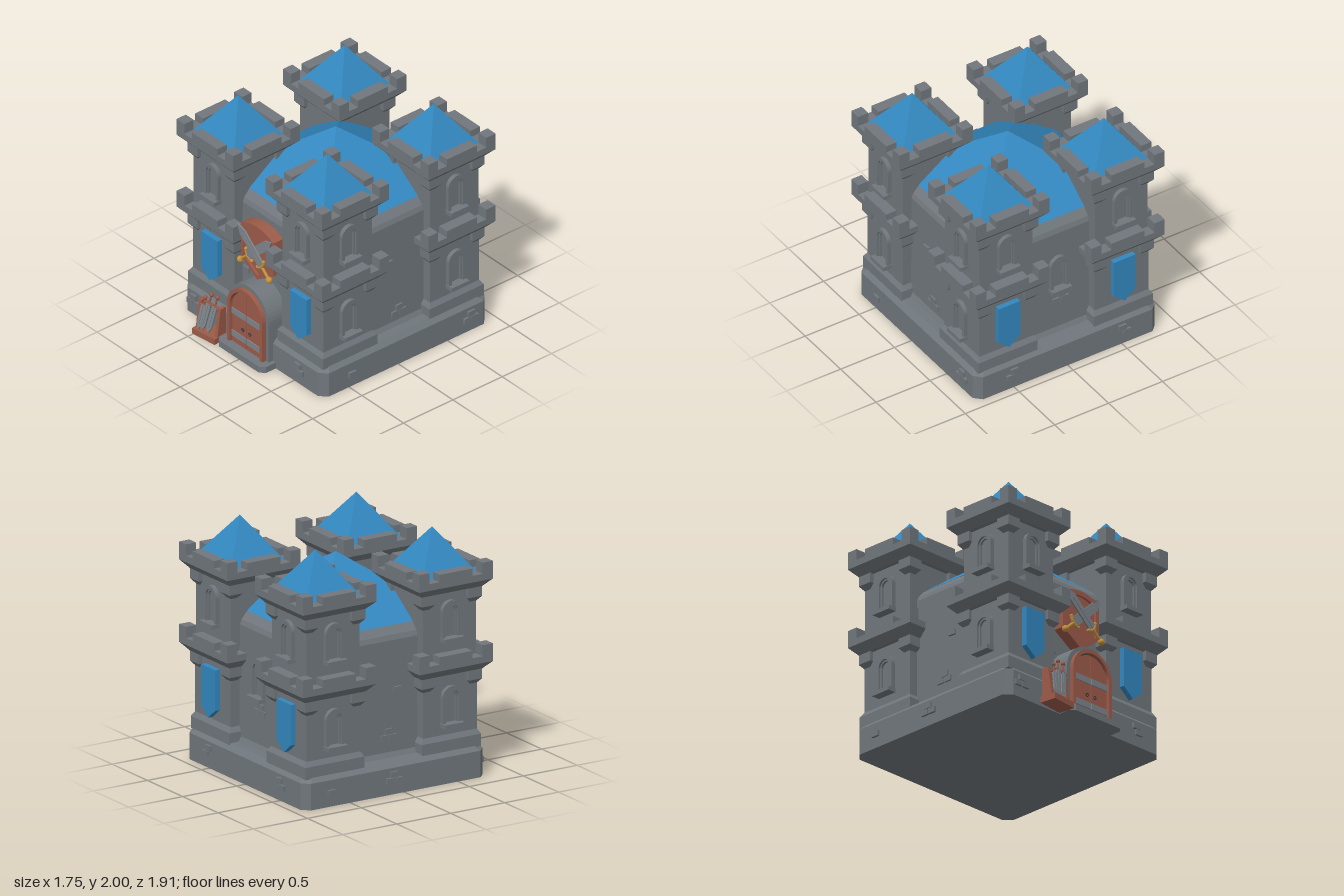
import * as THREE from 'three';

const mat = (name, color) => Object.assign(new THREE.MeshStandardMaterial({ color }), { name });

export function createModel() {
  const stone = mat('stone', 0x70777c), blue = mat('roof blue', 0x3388c0);
  const wood = mat('wood', 0x9c5b49), gold = mat('gold', 0xc4933c);
  const iron = mat('iron', 0x7d858b), dark = mat('dark iron', 0x3a3e42);

  const add = (parent, name, geo, material, x = 0, y = 0, z = 0) => {
    const m = new THREE.Mesh(geo, material);
    m.name = name;
    m.position.set(x, y, z);
    parent.add(m);
    return m;
  };
  const group = (parent, name) => {
    const g = new THREE.Group();
    g.name = name;
    parent.add(g);
    return g;
  };
  const box = (w, h, d) => new THREE.BoxGeometry(w, h, d);

  // Square solid from a [half width, y] profile, with optional cut corners
  const squareStack = (profile, cut = 0) => {
    const n = cut ? 8 : 4;
    const pts = profile.map(([r, y]) => new THREE.Vector2(r, y));
    const geo = new THREE.LatheGeometry(pts, n, Math.PI / n).toNonIndexed();
    const p = geo.attributes.position;
    for (let i = 0; i < p.count; i++) {
      const x = p.getX(i), z = p.getZ(i), r = Math.hypot(x, z);
      if (r < 1e-6) continue;
      const xBig = Math.abs(x) > Math.abs(z);
      p.setX(i, Math.sign(x) * (xBig || !cut ? r : r - cut));
      p.setZ(i, Math.sign(z) * (xBig && cut ? r - cut : r));
    }
    geo.computeVertexNormals();
    return geo;
  };
  const polygon = pts => new THREE.Shape(pts.map(([x, y]) => new THREE.Vector2(x, y)));
  const extrude = (shape, depth) =>
    new THREE.ExtrudeGeometry(shape, { depth, bevelEnabled: false, curveSegments: 12 });
  // Round-topped outline, optionally hollowed by a smaller one
  const arch = (half, y0, top, hole) => {
    const s = new THREE.Shape();
    s.moveTo(-half, y0).lineTo(half, y0).lineTo(half, top - half);
    s.absarc(0, top - half, half, 0, Math.PI, false);
    s.lineTo(-half, y0);
    if (hole) s.holes.push(hole);
    return s;
  };
  // Move an object that faces +z onto the side turned by angle
  const onFace = (obj, angle, along, y, dist) => {
    obj.position.set(along, y, dist).applyAxisAngle(new THREE.Vector3(0, 1, 0), angle);
    obj.rotation.y = angle;
  };

  const model = new THREE.Group();
  model.name = 'castle';
  const castle = group(model, 'stoneworks');
  castle.position.z = -0.08;

  // Plinth, keep and main roof
  add(castle, 'plinth', squareStack([[0, 0], [0.845, 0], [0.845, 0.215], [0.8, 0.26], [0, 0.26]], 0.06), stone);
  add(castle, 'keep', squareStack([[0, 0.2], [0.73, 0.26], [0.71, 0.3], [0.7, 1.2], [0.685, 1.24], [0.63, 1.3], [0, 1.3]]), stone);
  add(castle, 'keepRoof', squareStack([[0.635, 1.3], [0, 1.75]]), blue);

  // Arched window: frame, inner trim and sill
  const frameGeo = extrude(arch(0.085, 0.03, 0.33, arch(0.058, 0.03, 0.3)), 0.035);
  const trimGeo = extrude(arch(0.058, 0.03, 0.3, arch(0.045, 0.03, 0.285)), 0.018);
  const makeWindow = (angle, along, y, dist) => {
    const w = group(castle, 'window');
    add(w, 'windowFrame', frameGeo, stone);
    add(w, 'windowTrim', trimGeo, stone);
    add(w, 'windowSill', box(0.18, 0.035, 0.075), stone, 0, 0.0175, 0.0375);
    onFace(w, angle, along, y, dist);
  };

  // Four corner towers
  const towerGeo = squareStack([[0, 0.2], [0.275, 0.24], [0.275, 0.34], [0.25, 0.38], [0.25, 0.87], [0.28, 0.87],
    [0.34, 0.935], [0.34, 0.99], [0.245, 0.99], [0.245, 1.54], [0.28, 1.54], [0.34, 1.605], [0.34, 1.66], [0, 1.66]]);
  const spireGeo = squareStack([[0.245, 1.66], [0, 2]]);
  const bracketGeo = squareStack([[0, 0], [0.03, 0], [0.0625, 0.04], [0.0625, 0.12], [0, 0.12]]);
  const bannerGeo = extrude(polygon([[-0.1, 0.81], [-0.1, 0.48], [0, 0.4], [0.1, 0.48], [0.1, 0.81]]), 0.045);
  for (const sx of [-1, 1]) for (const sz of [-1, 1]) {
    const tower = group(castle, 'tower');
    tower.position.set(sx * 0.535, 0, sz * 0.54);
    add(tower, 'towerBody', towerGeo, stone);
    add(tower, 'spire', spireGeo, blue);
    for (const y of [0.99, 1.66]) for (let k = 0; k < 4; k++) {
      const a = k * Math.PI / 2, q = k < 2 ? 1 : -1, r = k % 2 ? 1 : -1;
      add(tower, 'cornerMerlon', box(0.095, 0.09, 0.095), stone, q * 0.2925, y + 0.045, r * 0.2925);
      add(tower, 'cornerBracket', bracketGeo, stone, q * 0.2175, y - 0.24, r * 0.2175);
      onFace(add(tower, 'middleMerlon', box(0.305, 0.06, 0.095), stone), a, 0, y + 0.03, 0.2925);
    }
    // Windows on the outer faces, banner on front and back
    const side = sx * Math.PI / 2, face = sz > 0 ? 0 : Math.PI;
    makeWindow(side, -sx * sz * 0.54, 0.445, 0.785);
    makeWindow(side, -sx * sz * 0.54, 1.14, 0.78);
    makeWindow(face, sx * sz * 0.535, 1.14, 0.785);
    onFace(add(tower, 'banner', bannerGeo, blue), face, 0, 0, 0.25);
  }
  makeWindow(Math.PI, 0, 0.66, 0.7);

  // Scattered raised bricks: [side, along, y, on plinth]
  const F = 0, R = Math.PI / 2, B = Math.PI, L = -Math.PI / 2;
  const bricks = [
    [F, -0.23, 0.61, 0], [F, 0.18, 0.69, 0], [F, 0.215, 0.64, 0],
    [F, -0.7, 0.165, 1], [F, -0.74, 0.115, 1], [F, -0.665, 0.115, 1], [F, 0.55, 0.165, 1], [F, 0.58, 0.115, 1],
    [R, -0.065, 0.86, 0], [R, 0.035, 0.42, 0], [R, -0.005, 0.37, 0], [R, 0.07, 0.37, 0],
    [R, -0.555, 0.115, 1], [R, 0.65, 0.165, 1], [R, 0.61, 0.115, 1], [R, 0.685, 0.115, 1],
    [B, 0.03, 0.61, 0], [B, -0.02, 0.56, 0], [B, 0.055, 0.56, 0],
    [B, -0.5, 0.165, 1], [B, -0.54, 0.115, 1], [B, 0.5, 0.165, 1], [B, 0.54, 0.115, 1],
    [L, 0.1, 0.8, 0], [L, 0.02, 0.47, 0], [L, -0.02, 0.42, 0], [L, 0.055, 0.42, 0],
    [L, -0.02, 0.165, 1], [L, 0.02, 0.115, 1], [L, -0.055, 0.115, 1], [L, -0.6, 0.115, 1],
  ];
  for (const [a, u, y, low] of bricks)
    onFace(add(castle, 'brick', box(0.068, 0.046, 0.03), stone), a, u, y, low ? 0.85 : 0.708);

  // Doorway: step, stone arch, wooden frame, leaves, straps and handles
  const door = group(model, 'doorway');
  add(door, 'doorStep', extrude(polygon([[-0.28, -0.7], [-0.28, -0.865], [-0.24, -0.905], [0.24, -0.905],
    [0.28, -0.865], [0.28, -0.7]]), 0.055).rotateX(-Math.PI / 2), stone);
  add(door, 'stoneArch', extrude(arch(0.245, 0.04, 0.64), 0.21), stone, 0, 0, 0.6);
  add(door, 'doorFrame', extrude(arch(0.212, 0.05, 0.607, arch(0.182, 0.05, 0.577)), 0.04), wood, 0, 0, 0.807);
  add(door, 'doorShadowGap', extrude(arch(0.182, 0.05, 0.577), 0.005), dark, 0, 0, 0.81);
  for (const s of [-1, 1]) {
    const leaf = new THREE.Shape();
    if (s > 0) {
      leaf.moveTo(0.004, 0.055).lineTo(0.172, 0.055).lineTo(0.172, 0.395);
      leaf.absarc(0, 0.395, 0.172, 0, Math.PI / 2 - 0.023, false);
    } else {
      leaf.moveTo(-0.004, 0.567).absarc(0, 0.395, 0.172, Math.PI / 2 + 0.023, Math.PI, false);
      leaf.lineTo(-0.172, 0.055).lineTo(-0.004, 0.055);
    }
    add(door, 'doorLeaf', extrude(leaf, 0.014), wood, 0, 0, 0.812);
    add(door, 'doorHandle', new THREE.TorusGeometry(0.013, 0.004, 6, 14), dark, s * 0.042, 0.22, 0.83);
    for (const y of [0.135, 0.345])
      add(door, 'doorStrap', box(0.17, 0.052, 0.012), iron, s * 0.09, y, 0.828);
  }

  // Sword along +y, pommel at the origin
  const makeSword = (parent, length, width, hilt) => {
    const s = group(parent, 'sword'), g = length * 0.23, w = width / 2;
    add(s, 'blade', extrude(polygon([[-w, g], [w, g], [w, length - w * 2], [0, length], [-w, length - w * 2]]), 0.014),
      iron, 0, 0, -0.007);
    add(s, 'bladeRidge', box(width * 0.12, length - g - width * 1.2, 0.022), iron, 0, (length + g - width) / 2, 0);
    const arc = 1.5;
    const guard = new THREE.TorusGeometry(width, width * 0.17, 6, 10, arc).rotateZ(-Math.PI / 2 - arc / 2);
    add(s, 'guard', guard, hilt, 0, g + width, 0);
    for (const k of [-1, 1])
      add(s, 'guardEnd', new THREE.SphereGeometry(width * 0.2, 8, 6), hilt,
        k * width * Math.sin(arc / 2), g + width - width * Math.cos(arc / 2), 0);
    add(s, 'grip', new THREE.CylinderGeometry(width * 0.16, width * 0.16, g, 8), hilt, 0, g / 2, 0);
    add(s, 'pommel', new THREE.SphereGeometry(width * 0.36, 10, 8), hilt);
    return s;
  };

  // Shield with raised rim and crossed swords
  const shieldShape = (k, hole) => {
    const s = new THREE.Shape(), w = 0.195 * k;
    s.moveTo(-w, -0.12 * k).lineTo(0, -0.245 * k).lineTo(w, -0.12 * k).lineTo(w, 0.19 * k);
    s.quadraticCurveTo(0, 0.3 * k, -w, 0.19 * k);
    if (hole) s.holes.push(hole);
    return s;
  };
  const shield = group(model, 'wallShield');
  shield.position.set(0, 0.91, 0.61);
  add(shield, 'shieldRim', extrude(shieldShape(1, shieldShape(0.84)), 0.11), wood);
  add(shield, 'shieldPanel', extrude(shieldShape(0.86), 0.09), wood);
  for (const s of [-1, 1]) {
    const sword = makeSword(shield, 0.51, 0.078, gold);
    sword.position.set(s * 0.185, -0.14, s > 0 ? 0.145 : 0.125);
    sword.rotation.z = s * 0.834;
  }

  // Weapon rack leaning swords beside the door
  const rack = group(model, 'weaponRack');
  rack.position.set(-0.402, 0, 0.862);
  rack.rotation.y = 0.12;
  add(rack, 'rackBase', box(0.24, 0.05, 0.145), wood, 0, 0.025, 0);
  for (const s of [-1, 1])
    add(rack, 'rackPost', extrude(polygon([[-0.06, 0.04], [0.035, 0.04], [0, 0.29], [-0.06, 0.29]]), 0.03)
      .rotateY(-Math.PI / 2), wood, s * 0.1 + 0.015, 0, 0);
  add(rack, 'rackRail', box(0.22, 0.04, 0.025), wood, 0, 0.25, -0.035);
  for (const x of [0.015, 0.078]) {
    const sword = makeSword(rack, 0.34, 0.05, wood);
    sword.position.set(x, 0.385, -0.005);
    sword.rotation.set(-0.15, 0, Math.PI - 0.17);
  }
  const spare = makeSword(rack, 0.29, 0.045, wood);
  spare.position.set(-0.045, 0.335, 0);
  spare.rotation.set(-0.17, 0, Math.PI - 0.1);

  return model;
}
